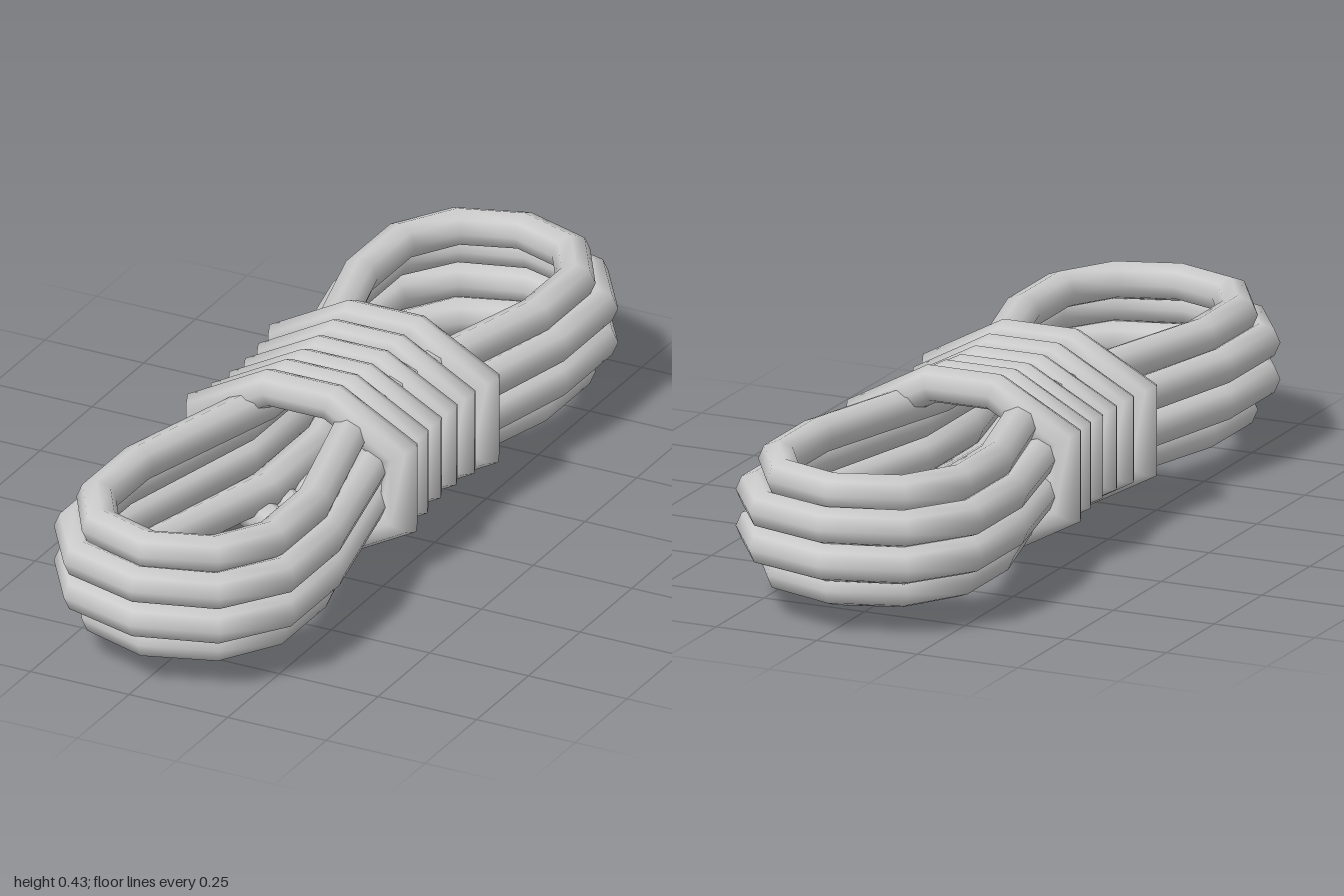
import * as THREE from 'three';

const SIDES = 8;
const CENTRE_Y = 0.216;
const material = new THREE.MeshStandardMaterial({ color: 0xcccccc });

// Mirror a quarter outline (counter-clockwise, from +x to +y) into a closed outline
function closeOutline(quarter) {
  const half = [...quarter];
  for (const [x, y] of [...quarter].reverse()) if (x > 0) half.push([-x, y]);
  return [...half, ...half.map(([x, y]) => [-x, -y])].map(([x, y]) => new THREE.Vector2(x, y));
}

// Sweep a round section along a closed flat outline with mitred corners
function ropeRing(quarter, radius) {
  const pts = closeOutline(quarter);
  const n = pts.length;
  const normal = (a, b) => new THREE.Vector2(b.y - a.y, a.x - b.x).normalize();
  const position = [];
  const index = [];
  pts.forEach((p, i) => {
    const n1 = normal(pts[(i + n - 1) % n], p);
    const n2 = normal(p, pts[(i + 1) % n]);
    const out = n1.clone().add(n2).divideScalar(1 + n1.dot(n2));
    for (let j = 0; j < SIDES; j++) {
      const t = (j / SIDES) * Math.PI * 2;
      const c = Math.cos(t) * radius;
      position.push(p.x + out.x * c, p.y + out.y * c, Math.sin(t) * radius);
      const j2 = (j + 1) % SIDES;
      const i2 = (i + 1) % n;
      const a = i * SIDES + j, b = i2 * SIDES + j;
      const d = i * SIDES + j2, e = i2 * SIDES + j2;
      index.push(a, b, d, b, e, d);
    }
  });
  const geometry = new THREE.BufferGeometry();
  geometry.setAttribute('position', new THREE.Float32BufferAttribute(position, 3));
  geometry.setIndex(index);
  geometry.computeVertexNormals();
  return geometry;
}

export function createModel() {
  const model = new THREE.Group();
  model.name = 'ropeBundle';

  // Long loops, pinched at the waist: two wide in the middle, two narrow outside
  const wide = [[0.17, 0.13], [0.262, 0.545], [0.262, 0.767], [0.17, 0.902], [0, 0.953]];
  const narrow = [[0.115, 0.13], [0.222, 0.535], [0.222, 0.735], [0.145, 0.86], [0, 0.91]];
  const loops = new THREE.Group();
  loops.name = 'longLoops';
  for (const [outline, dy] of [[wide, 0.043], [narrow, 0.111]]) {
    const geometry = ropeRing(outline, 0.044);
    for (const side of [-1, 1]) {
      const loop = new THREE.Mesh(geometry, material);
      loop.name = 'longLoop';
      loop.rotation.x = -Math.PI / 2;
      loop.position.y = CENTRE_Y + side * dy;
      loops.add(loop);
    }
  }
  model.add(loops);

  // Eight-cornered turns of rope binding the waist: [z, half width, half height, rope radius]
  const turns = [
    [-0.231, 0.29, 0.214, 0.043],
    [-0.146, 0.274, 0.203, 0.038],
    [-0.071, 0.268, 0.196, 0.038],
    [0.004, 0.268, 0.196, 0.038],
    [0.08, 0.274, 0.203, 0.038],
    [0.165, 0.29, 0.214, 0.043],
  ];
  const binding = new THREE.Group();
  binding.name = 'binding';
  for (const [z, w, h, r] of turns) {
    const x = w - r, y = h - r;
    const turn = new THREE.Mesh(ropeRing([[x, y * 0.47], [x * 0.32, y]], r), material);
    turn.name = 'bindingTurn';
    turn.position.set(0, CENTRE_Y, z);
    binding.add(turn);
  }
  model.add(binding);

  return model;
}
